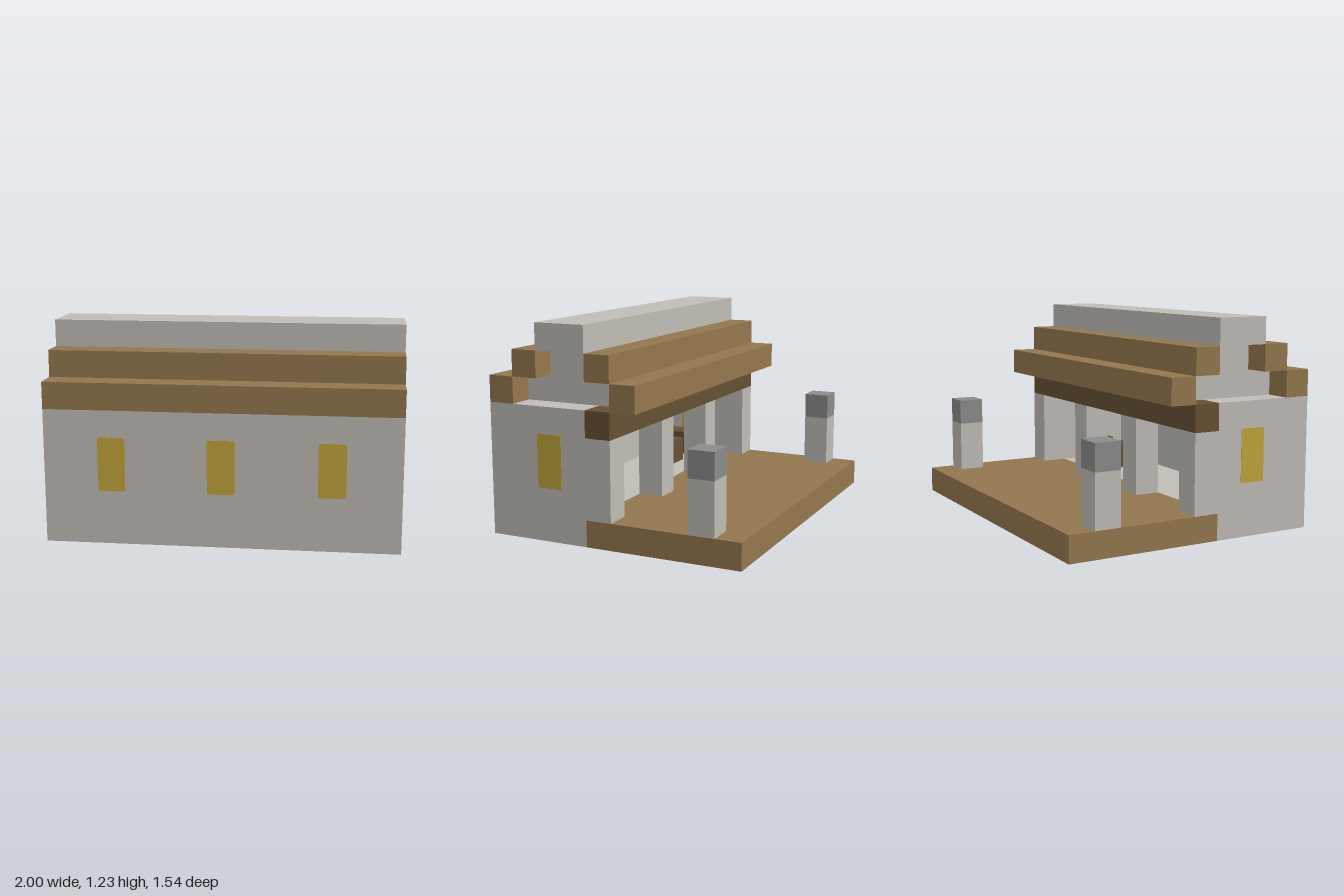
import * as THREE from 'three';

const U = 2 / 13; // one building block: the house is 13 wide, 8 high, 10 deep

export function createModel() {
  const house = new THREE.Group();
  house.name = 'house';

  const mat = (name, color) => {
    const m = new THREE.MeshStandardMaterial({ color });
    m.name = name;
    return m;
  };
  const stone = mat('paleStone', 0xc0bcb6);
  const wood = mat('wood', 0x93774e);
  const darkWood = mat('darkWood', 0x665033);
  const capStone = mat('greyCapStone', 0x8b8b8b);
  const pane = mat('yellowPane', 0xc0a53a);

  // Box from block coordinates: x from the right end, y from the ground, z from the back
  const block = (name, material, [x0, x1], [y0, y1], [z0, z1]) => {
    const geo = new THREE.BoxGeometry((x1 - x0) * U, (y1 - y0) * U, (z1 - z0) * U);
    const mesh = new THREE.Mesh(geo, material);
    mesh.name = name;
    mesh.position.set(((x0 + x1) / 2 - 6.5) * U, ((y0 + y1) / 2) * U, ((z0 + z1) / 2 - 5) * U);
    house.add(mesh);
  };

  // Floors
  block('terraceFloor', wood, [0, 13], [0, 1], [0, 6]);
  block('roomFloor', stone, [0, 13], [0, 1], [6, 10]);

  // Walls
  block('frontWall', stone, [0, 13], [1, 5], [9, 10]);
  for (const x of [0, 12]) block('sideWall', stone, [x, x + 1], [1, 5], [6, 9]);

  // Open back: pillars carrying a beam
  for (const x of [0, 4, 8, 12]) block('pillar', stone, [x, x + 1], [1, 4], [5, 6]);
  block('pillarBeam', darkWood, [0, 13], [4, 5], [5, 6]);

  // Stepped hollow roof
  block('frontEave', wood, [0, 13], [5, 6], [9, 10]);
  block('backEave', wood, [0, 13], [5, 6], [4, 5]);
  block('frontRoofStep', wood, [0, 13], [6, 7], [8, 9]);
  block('backRoofStep', wood, [0, 13], [6, 7], [5, 6]);
  block('ridge', stone, [0, 13], [7, 8], [6, 8]);

  // Gables, set in one block from the ends
  for (const x of [1, 11]) {
    block('lowerGable', stone, [x, x + 1], [5, 6], [5, 9]);
    block('upperGable', stone, [x, x + 1], [6, 7], [6, 8]);
  }

  // Terrace corner posts with caps
  for (const x of [0, 12]) {
    block('terracePost', stone, [x, x + 1], [1, 3], [1, 2]);
    block('postCap', capStone, [x, x + 1], [3, 4], [1, 2]);
  }

  // Furniture in the room
  for (const x of [3, 11]) block('stool', darkWood, [x, x + 1], [1, 2], [7, 8]);
  for (const x of [1, 9]) block('bench', darkWood, [x, x + 1], [1, 2], [7, 9]);

  // Window panes: thin plates with softened corners on both faces of each wall
  const w = U / 2, h = U, r = 0.014;
  const shape = new THREE.Shape();
  shape.moveTo(-w + r, -h);
  shape.lineTo(w - r, -h);
  shape.quadraticCurveTo(w, -h, w, -h + r);
  shape.lineTo(w, h - r);
  shape.quadraticCurveTo(w, h, w - r, h);
  shape.lineTo(-w + r, h);
  shape.quadraticCurveTo(-w, h, -w, h - r);
  shape.lineTo(-w, -h + r);
  shape.quadraticCurveTo(-w, -h, -w + r, -h);
  const plate = new THREE.ExtrudeGeometry(shape, { depth: 0.004, bevelEnabled: false, curveSegments: 3 });
  plate.translate(0, 0, -0.002);

  const window = (name, x, z, turn) => {
    const mesh = new THREE.Mesh(plate, pane);
    mesh.name = name;
    mesh.position.set((x - 6.5) * U, 3 * U, (z - 5) * U);
    mesh.rotation.y = turn;
    house.add(mesh);
  };
  for (const x of [2.5, 6.5, 10.5]) for (const z of [9, 10]) window('frontWindow', x, z, 0);
  for (const x of [0, 1, 12, 13]) window('sideWindow', x, 7.5, Math.PI / 2);

  return house;
}
